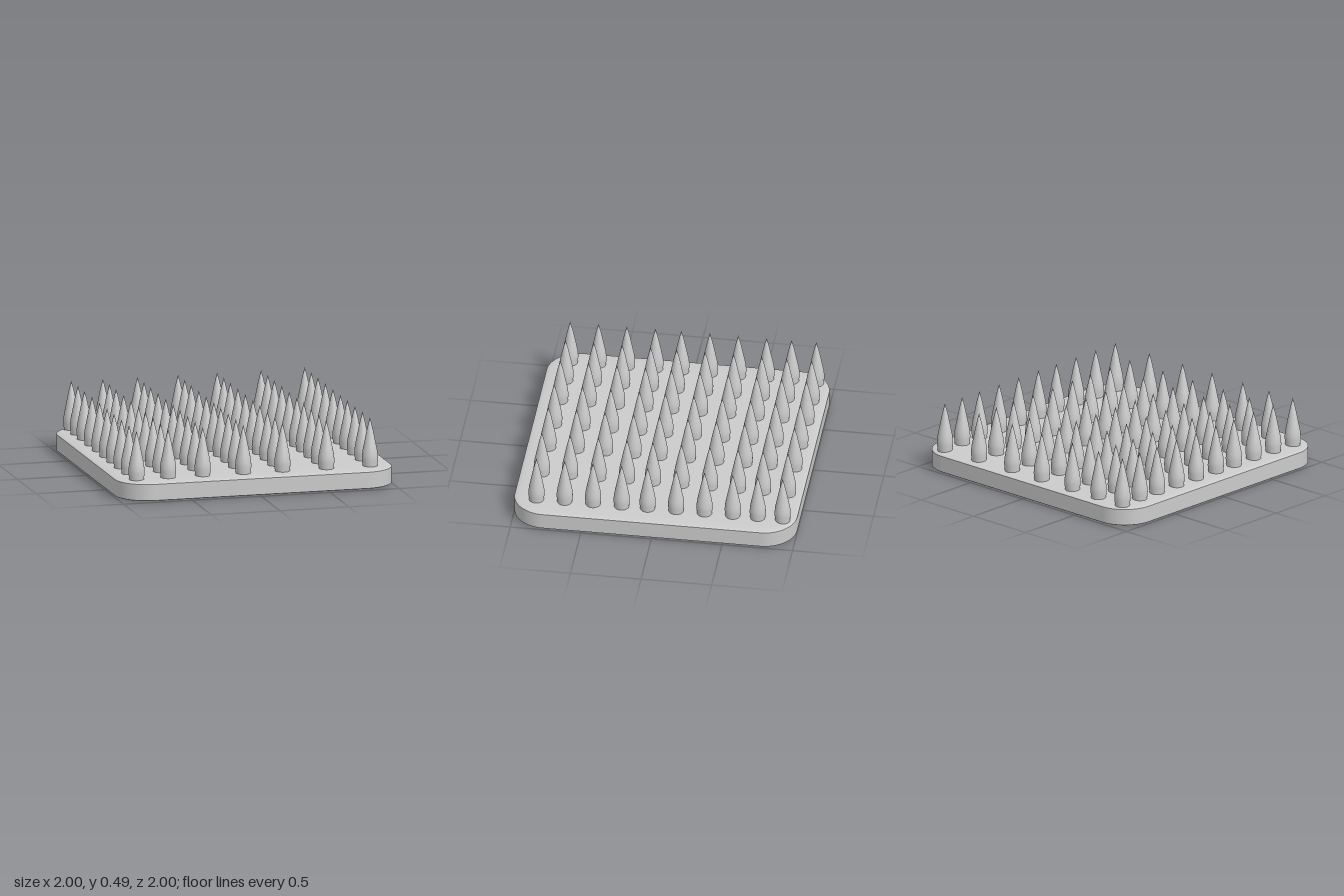
import * as THREE from 'three';
import { toCreasedNormals } from 'three/addons/utils/BufferGeometryUtils.js';

const HEIGHT = 0.143, BEVEL = 0.014, INSET = 0.18;

// Rounded square, half-width h and corner radius r
function roundedSquare(h, r) {
  const s = new THREE.Shape();
  const c = h - r;
  s.absarc(c, c, r, 0, Math.PI / 2);
  s.absarc(-c, c, r, Math.PI / 2, Math.PI);
  s.absarc(-c, -c, r, Math.PI, Math.PI * 1.5);
  s.absarc(c, -c, r, Math.PI * 1.5, Math.PI * 2);
  s.closePath();
  return s;
}

export function createModel() {
  const group = new THREE.Group();
  const material = new THREE.MeshStandardMaterial({ color: 0xcccccc });

  // Base plate with softly domed edges, top and bottom
  const plate = new THREE.ExtrudeGeometry(roundedSquare(1 - INSET, 0.05), {
    depth: HEIGHT - 2 * BEVEL, curveSegments: 10,
    bevelThickness: BEVEL, bevelSize: INSET, bevelSegments: 6,
  });
  plate.rotateX(-Math.PI / 2);
  plate.translate(0, BEVEL, 0);
  const base = new THREE.Mesh(toCreasedNormals(plate, 0.6), material);
  base.name = 'basePlate';
  group.add(base);

  // Spike: slightly swelling foot that tapers to a sharp tip
  const profile = [
    [0.051, 0.12], [0.053, 0.15], [0.057, 0.19], [0.056, 0.215], [0.052, 0.25],
    [0.044, 0.29], [0.034, 0.34], [0.023, 0.395], [0.011, 0.445], [0, 0.487],
  ].map(([r, y]) => new THREE.Vector2(r, y));
  const spikeGeometry = new THREE.LatheGeometry(profile, 32);

  // Spike grid; the last column sits slightly further back
  const columns = [-0.865, -0.636, -0.385, -0.09, 0.194, 0.513, 0.832];
  const rows = [-0.896, -0.72, -0.543, -0.343, -0.142, 0.06, 0.244, 0.446, 0.647, 0.847];
  const spikes = new THREE.Group();
  spikes.name = 'spikes';
  columns.forEach((x, i) => {
    const shift = i === columns.length - 1 ? -0.009 : 0;
    for (const z of rows) {
      const spike = new THREE.Mesh(spikeGeometry, material);
      spike.name = 'spike';
      spike.position.set(x, 0, z + shift);
      spikes.add(spike);
    }
  });
  group.add(spikes);
  return group;
}
